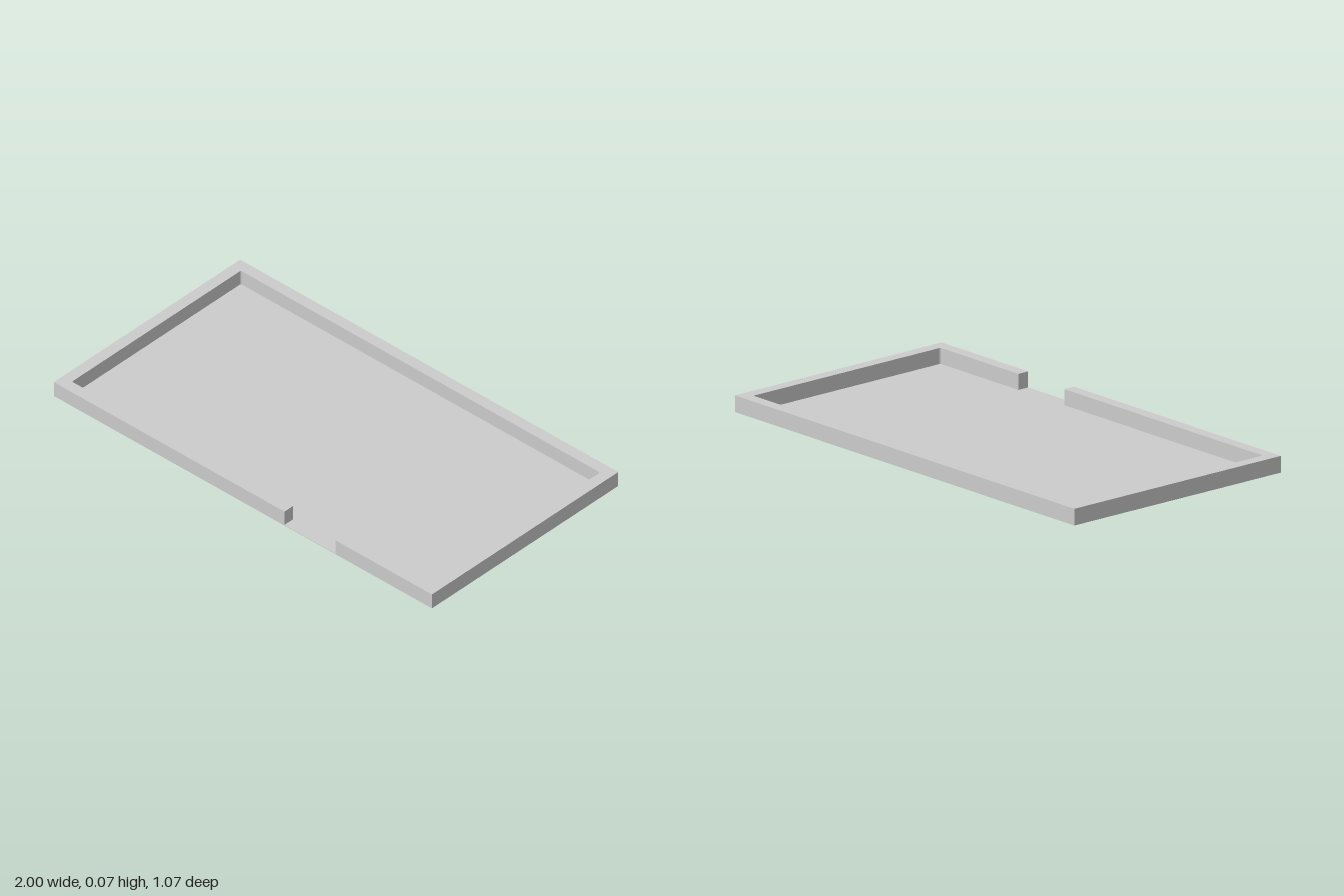
import * as THREE from 'three';

const HALF_W = 1, HALF_D = 0.533, HEIGHT = 0.068, FLOOR = 0.003;
const WALL = 0.05, CORNER = 0.008;
const GAP_LEFT = 0.22, GAP_RIGHT = 0.49;

export function createModel() {
  const group = new THREE.Group();
  group.name = 'tray';
  const material = new THREE.MeshStandardMaterial({ color: 0xcccccc, flatShading: true });

  // Thin floor plate
  const floor = new THREE.Mesh(new THREE.BoxGeometry(2 * HALF_W, FLOOR, 2 * HALF_D), material);
  floor.name = 'floor';
  floor.position.y = FLOOR / 2;
  group.add(floor);

  // Rim: one C-shaped outline (shape y = -z), open at the front gap
  const ix = HALF_W - WALL, iy = HALF_D - WALL, r = CORNER;
  const outline = new THREE.Shape();
  outline.moveTo(GAP_RIGHT, -HALF_D);
  outline.lineTo(HALF_W, -HALF_D);
  outline.lineTo(HALF_W, HALF_D);
  outline.lineTo(-HALF_W, HALF_D);
  outline.lineTo(-HALF_W, -HALF_D);
  outline.lineTo(GAP_LEFT, -HALF_D);
  outline.lineTo(GAP_LEFT, -iy);
  // Inner edge with slightly rounded corners
  outline.lineTo(-ix + r, -iy);
  outline.quadraticCurveTo(-ix, -iy, -ix, -iy + r);
  outline.lineTo(-ix, iy - r);
  outline.quadraticCurveTo(-ix, iy, -ix + r, iy);
  outline.lineTo(ix - r, iy);
  outline.quadraticCurveTo(ix, iy, ix, iy - r);
  outline.lineTo(ix, -iy + r);
  outline.quadraticCurveTo(ix, -iy, ix - r, -iy);
  outline.lineTo(GAP_RIGHT, -iy);
  outline.closePath();

  const rimGeometry = new THREE.ExtrudeGeometry(outline, {
    depth: HEIGHT - FLOOR, bevelEnabled: false, curveSegments: 4,
  });
  rimGeometry.rotateX(-Math.PI / 2);
  const rim = new THREE.Mesh(rimGeometry, material);
  rim.name = 'rim';
  rim.position.y = FLOOR;
  group.add(rim);

  return group;
}
